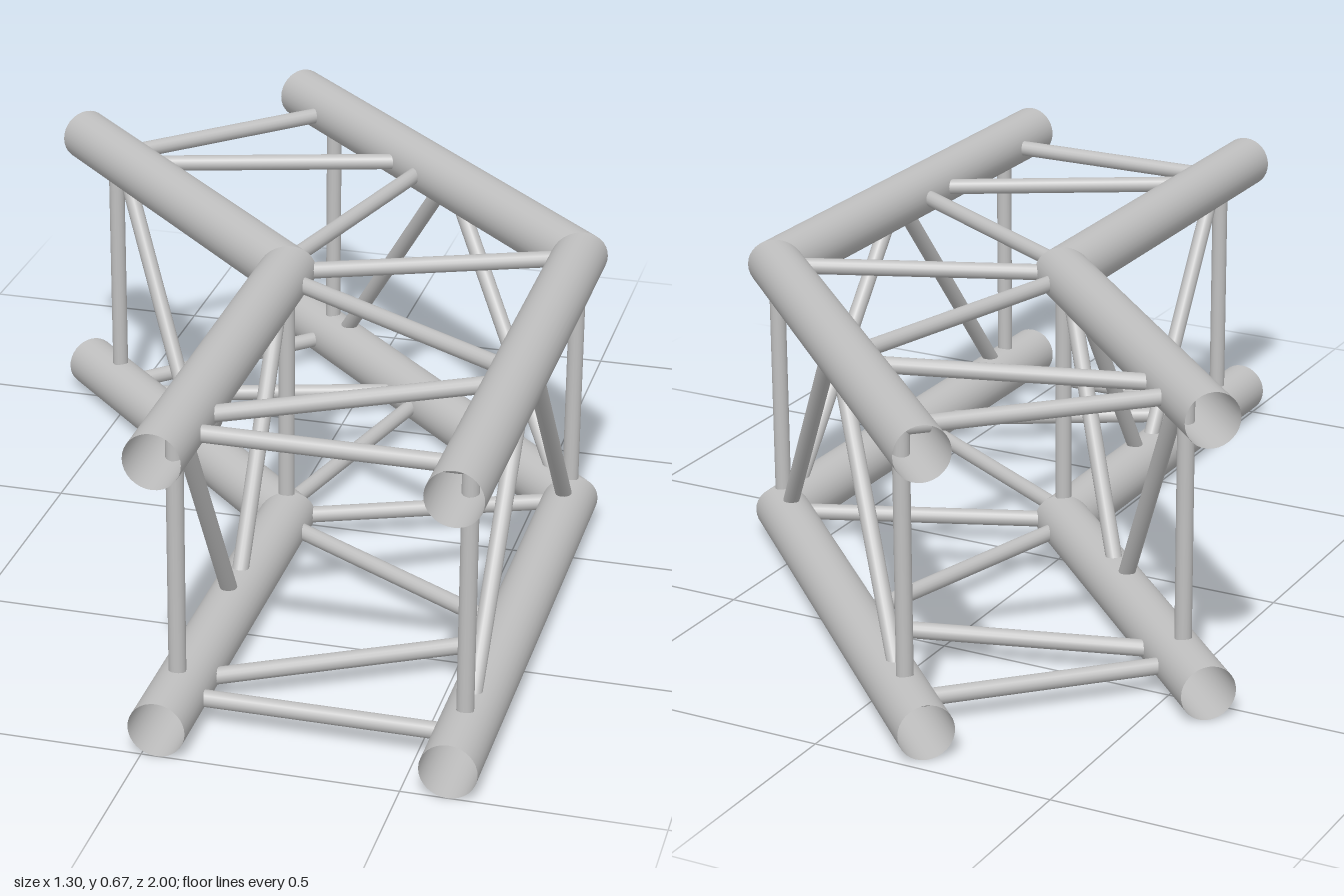
import * as THREE from 'three';

const V = (x, y, z) => new THREE.Vector3(x, y, z);
const LOW = 0.056, HIGH = 0.614, CHORD_R = 0.056, BAR_R = 0.017;

// Corner, front end and back end of the two chord lines, in plan
const inner = { corner: V(0.03, 0, 0.08), front: V(0.03, 0, 1), back: V(-0.615, 0, -0.565) };
const outer = { corner: V(0.59, 0, -0.152), front: V(0.59, 0, 1), back: V(-0.22, 0, -0.962) };

export function createModel() {
  const group = new THREE.Group();
  const metal = new THREE.MeshStandardMaterial({ color: 0xc0c0c0, side: THREE.DoubleSide });
  metal.name = 'aluminium';

  const add = (name, geometry) => {
    const mesh = new THREE.Mesh(geometry, metal);
    mesh.name = name;
    group.add(mesh);
  };

  // Cylinder running from a to b
  const rod = (a, b, r, sides, open) => {
    const d = b.clone().sub(a);
    const g = new THREE.CylinderGeometry(r, r, d.length(), sides, 1, open);
    g.applyQuaternion(new THREE.Quaternion().setFromUnitVectors(V(0, 1, 0), d.normalize()));
    const mid = a.clone().add(b).multiplyScalar(0.5);
    return g.translate(mid.x, mid.y, mid.z);
  };
  const bar = (name, a, b) => add(name, rod(a, b, BAR_R, 16, false));
  const at = (p, y) => V(p.x, y, p.z);

  // Hollow chord with its corner end slid onto the mitre plane
  const chord = (name, corner, end, normal) => {
    const g = rod(corner, end, CHORD_R, 32, true);
    const d = end.clone().sub(corner).normalize();
    const pos = g.attributes.position, p = V(0, 0, 0);
    for (let i = 0; i < pos.count; i++) {
      p.fromBufferAttribute(pos, i).sub(corner);
      if (p.dot(d) > 0.2) continue;
      p.addScaledVector(d, -p.dot(normal) / d.dot(normal)).add(corner);
      pos.setXYZ(i, p.x, p.y, p.z);
    }
    add(name, g);
  };

  const dirFront = V(0, 0, 1), dirBack = V(-1, 0, -1).normalize();
  const mitre = dirFront.clone().sub(dirBack).normalize();
  for (const y of [LOW, HIGH]) {
    for (const line of [inner, outer]) {
      chord('frontChord', at(line.corner, y), at(line.front, y), mitre);
      chord('backChord', at(line.corner, y), at(line.back, y), mitre);
    }
    bar('cornerCrossBar', at(inner.corner, y), at(outer.corner, y));
  }
  for (const line of [inner, outer]) bar('cornerPost', at(line.corner, LOW), at(line.corner, HIGH));

  // Bracing of each wing, measured along the chords from the corner
  for (const [side, dir] of [['front', dirFront], ['back', dirBack]]) {
    const on = (line, s, y) => at(line.corner.clone().addScaledVector(dir, s), y);
    const IN = 0.78 - (side === 'back' ? 0.015 : 0), OUT = IN + 0.232;

    // End frame
    for (const [line, s] of [[inner, IN], [outer, OUT]]) {
      bar(side + 'EndPost', on(line, s, LOW), on(line, s, HIGH));
    }
    // Flat zigzags, top and bottom
    for (const y of [LOW, HIGH]) {
      bar(side + 'EndCrossBar', on(inner, IN, y), on(outer, OUT, y));
      bar(side + 'FlatDiagonal', on(inner, IN - 0.06, y), on(outer, 0.635, y));
      bar(side + 'FlatDiagonal', on(inner, 0.03, y), on(outer, 0.595, y));
    }
    // Upright zigzags: V on the inner face, inverted V on the outer face
    for (const [line, s, yEnd, yMid] of [[inner, IN, HIGH, LOW], [outer, OUT, LOW, HIGH]]) {
      bar(side + 'UprightDiagonal', on(line, 0.03, yEnd), on(line, s / 2 - 0.01, yMid));
      bar(side + 'UprightDiagonal', on(line, s - 0.03, yEnd), on(line, s / 2 + 0.01, yMid));
    }
  }
  return group;
}
